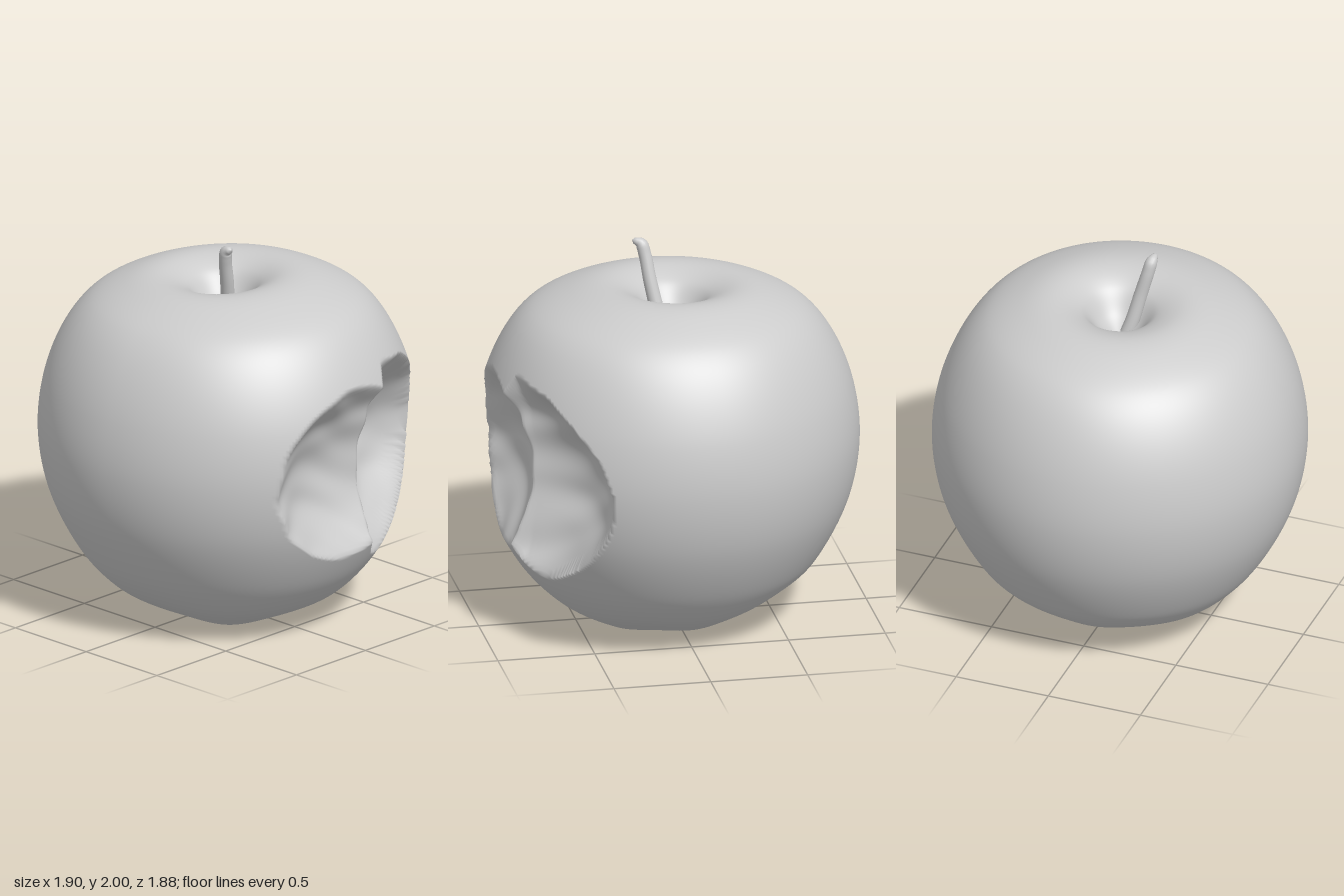
import * as THREE from 'three';
import { mergeVertices } from 'three/addons/utils/BufferGeometryUtils.js';

const material = new THREE.MeshStandardMaterial({ color: 0xcccccc, side: THREE.DoubleSide });
const { smoothstep } = THREE.MathUtils;

// Half outline of the apple, from the bottom hollow to the stem hollow
const PROFILE = [
  [0, 0.19], [0.06, 0.16], [0.13, 0.085], [0.21, 0.02], [0.3, 0], [0.42, 0.045], [0.6, 0.17],
  [0.77, 0.385], [0.9, 0.66], [0.95, 0.95], [0.92, 1.23], [0.825, 1.48], [0.69, 1.655],
  [0.5, 1.757], [0.34, 1.785], [0.2, 1.735], [0.1, 1.62], [0, 1.55],
];
const CORE = new THREE.Vector3(0, 0.92, 0);
const BITE_TURN = 0.52;

// Uneven flesh left by the teeth, stronger toward the rims
function fleshNoise(x, y) {
  const edge = 0.4 + 3 * (y - 0.9) ** 2 + 0.8 * (x - 0.18) ** 2;
  return edge * (0.01 * Math.sin(9 * x + 2 * Math.sin(8 * y)) * Math.cos(17 * y + 3 * x)
    + 0.007 * Math.sin(27 * y + 3 * Math.sin(7 * x)));
}

// True where a point lies inside one of the two bites
function isBitten(p) {
  const n = fleshNoise(p.x, p.y);
  // Bite facing the front, tapering toward the right side
  const floor1 = 0.705 + 0.85 * (p.x + 0.06) ** 2 + (0.93 - 0.9 * p.x) * (p.y - 0.9) ** 2 + n;
  // Bite turned toward the left side
  const s = Math.sin(BITE_TURN), c = Math.cos(BITE_TURN);
  const u = p.x * c - p.z * s;
  const d = p.x * s + p.z * c;
  const bend = 0.42 + 2.6 * Math.max(0, u + 0.2);
  const floor2 = 0.6 + 1.5 * (u - 0.1) ** 2 + bend * (p.y - 0.875 - 0.07 * u) ** 2 + n;
  return p.z > floor1 || d > floor2;
}

// Pulls a skin point back toward the core until it leaves the bites
function carve(p) {
  if (p.z < 0.2 || p.y < 0.2 || p.y > 1.6 || !isBitten(p)) return;
  const skin = p.clone();
  let inside = 0, outside = 1;
  for (let i = 0; i < 18; i++) {
    const t = (inside + outside) / 2;
    p.lerpVectors(CORE, skin, t);
    if (isBitten(p)) outside = t; else inside = t;
  }
  p.lerpVectors(CORE, skin, inside);
}

function appleGeometry() {
  const curve = new THREE.SplineCurve(PROFILE.map(([r, y]) => new THREE.Vector2(r, y)));
  const points = curve.getSpacedPoints(230);
  points[0].x = points[230].x = 0;
  const lathe = new THREE.LatheGeometry(points, 290);
  lathe.deleteAttribute('uv');
  lathe.deleteAttribute('normal');
  const pos = lathe.attributes.position;
  const p = new THREE.Vector3();
  for (let i = 0; i < pos.count; i++) {
    p.fromBufferAttribute(pos, i);
    const r = Math.hypot(p.x, p.z);
    // Crowd the columns around the bites
    const a0 = Math.atan2(p.x, p.z);
    const a = a0 - 0.6 * Math.sin(a0 - 0.3);
    // Fuller front, slightly tilted crown and raised back underside
    const top = smoothstep(p.y, 1.3, 1.8);
    const low = 1 - smoothstep(p.y, 0, 0.35);
    const ring = smoothstep(r, 0.03, 0.3);
    const bulge = 0.055 * Math.max(0, Math.cos(a - 0.1)) ** 1.5 * smoothstep(r, 0.3, 0.75);
    const squash = 0.008 * smoothstep(r, 0.4, 0.9) * Math.sin(2 * a) ** 2 * (0.5 - 0.5 * Math.cos(a));
    const rr = r + bulge - squash;
    p.x = rr * Math.sin(a);
    p.z = rr * Math.cos(a);
    p.y += top * ring * (0.015 * Math.cos(a - 0.9) - 0.003);
    p.y += low * ring * (0.025 - 0.025 * Math.cos(a) + 0.008 * Math.cos(5 * a + 0.6));
    // Groove in the underside toward the back
    p.y += low * ring * 0.035 * Math.exp(-(((Math.cos(a - 2.75) - 1) / 0.09) ** 2));
    p.y = Math.max(p.y, 0);
    carve(p);
    pos.setXYZ(i, p.x, p.y, p.z);
  }
  const geometry = mergeVertices(lathe, 1e-5);
  geometry.computeVertexNormals();
  return geometry;
}

// Bent stem: a tube that narrows upward and closes in a hooked tip
function stemGeometry() {
  const path = new THREE.CatmullRomCurve3([
    [-0.01, 1.52, 0.045], [-0.045, 1.63, 0.07], [-0.08, 1.78, 0.1],
    [-0.113, 1.91, 0.12], [-0.125, 1.965, 0.138], [-0.133, 1.984, 0.182],
  ].map((q) => new THREE.Vector3(...q)));
  const rings = 48, sides = 16;
  const geometry = new THREE.TubeGeometry(path, rings, 0.035, sides);
  const pos = geometry.attributes.position;
  const p = new THREE.Vector3();
  for (let i = 0; i < pos.count; i++) {
    const t = Math.floor(i / (sides + 1)) / rings;
    const centre = path.getPointAt(t);
    const size = (1.1 - 0.2 * t - 0.3 * smoothstep(t, 0.88, 0.97)) * Math.sqrt(1 - t ** 40);
    p.fromBufferAttribute(pos, i).sub(centre).multiplyScalar(size).add(centre);
    pos.setXYZ(i, p.x, Math.min(p.y, 2), p.z);
  }
  geometry.computeVertexNormals();
  return geometry;
}

export function createModel() {
  const model = new THREE.Group();
  model.name = 'bittenApple';
  const add = (name, geometry, parent = model) => {
    const mesh = new THREE.Mesh(geometry, material);
    mesh.name = name;
    parent.add(mesh);
    return mesh;
  };

  add('appleBody', appleGeometry());
  add('stem', stemGeometry());

  // Dried flower leaves in the bottom hollow
  const calyx = new THREE.Group();
  calyx.name = 'calyx';
  calyx.position.y = 0.19;
  for (let i = 0; i < 5; i++) {
    const leaf = add('calyxLeaf', new THREE.ConeGeometry(0.028, 0.13, 5), calyx);
    const a = (i / 5) * Math.PI * 2;
    leaf.position.set(0.035 * Math.sin(a), -0.05, 0.035 * Math.cos(a));
    leaf.quaternion.setFromUnitVectors(
      new THREE.Vector3(0, 1, 0),
      new THREE.Vector3(0.6 * Math.sin(a), -1, 0.6 * Math.cos(a)).normalize(),
    );
  }
  model.add(calyx);
  return model;
}
